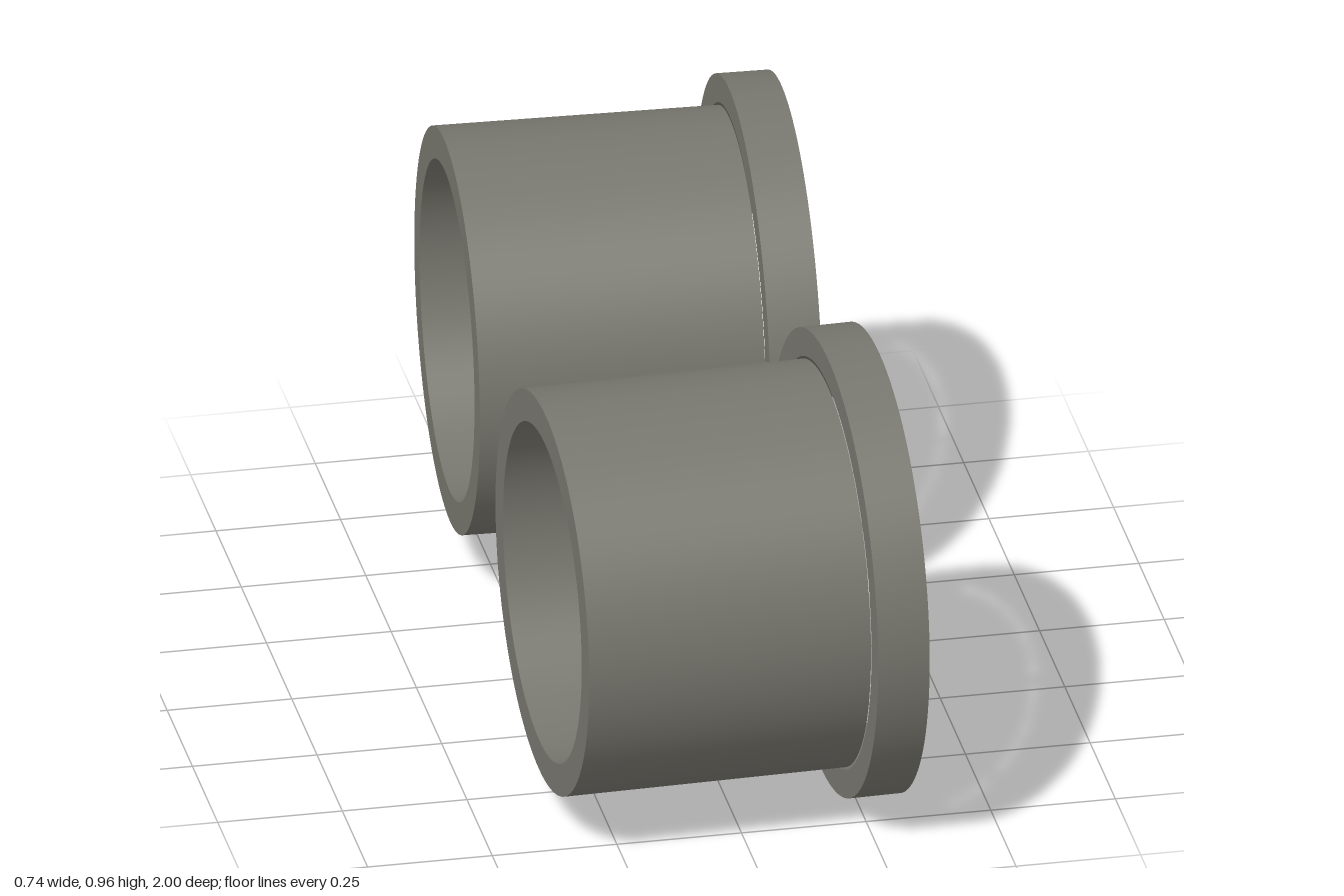
import * as THREE from 'three';
import { toCreasedNormals } from 'three/addons/utils/BufferGeometryUtils.js';

// Hollow ring along x, from x0 to x1, with crisp rims
function ring(name, inner, outer, x0, x1, material) {
  const profile = [[inner, x0], [outer, x0], [outer, x1], [inner, x1], [inner, x0]]
    .map(([r, h]) => new THREE.Vector2(r, h));
  const geometry = toCreasedNormals(new THREE.LatheGeometry(profile, 96), Math.PI / 4);
  geometry.rotateZ(-Math.PI / 2);
  const mesh = new THREE.Mesh(geometry, material);
  mesh.name = name;
  return mesh;
}

// Sleeve with a loose collar starting at its end; origin at the joint
function bushing(name, material) {
  const group = new THREE.Group();
  group.name = name;
  group.add(ring('sleeve', 0.339, 0.404, -0.569, 0, material));
  group.add(ring('collar', 0.409, 0.466, 0, 0.104, material));
  return group;
}

export function createModel() {
  const model = new THREE.Group();
  model.name = 'flangedBushings';
  const metal = new THREE.MeshStandardMaterial({ color: 0x77766e });
  metal.name = 'warm grey metal';

  // Two bushings side by side, each turned slightly
  const front = bushing('frontBushing', metal);
  front.position.set(0.21, 0.467, 0.532);
  front.rotation.y = 0.03;

  const back = bushing('backBushing', metal);
  back.position.set(0.243, 0.495, -0.534);
  back.rotation.y = -0.04;

  model.add(front, back);
  return model;
}
